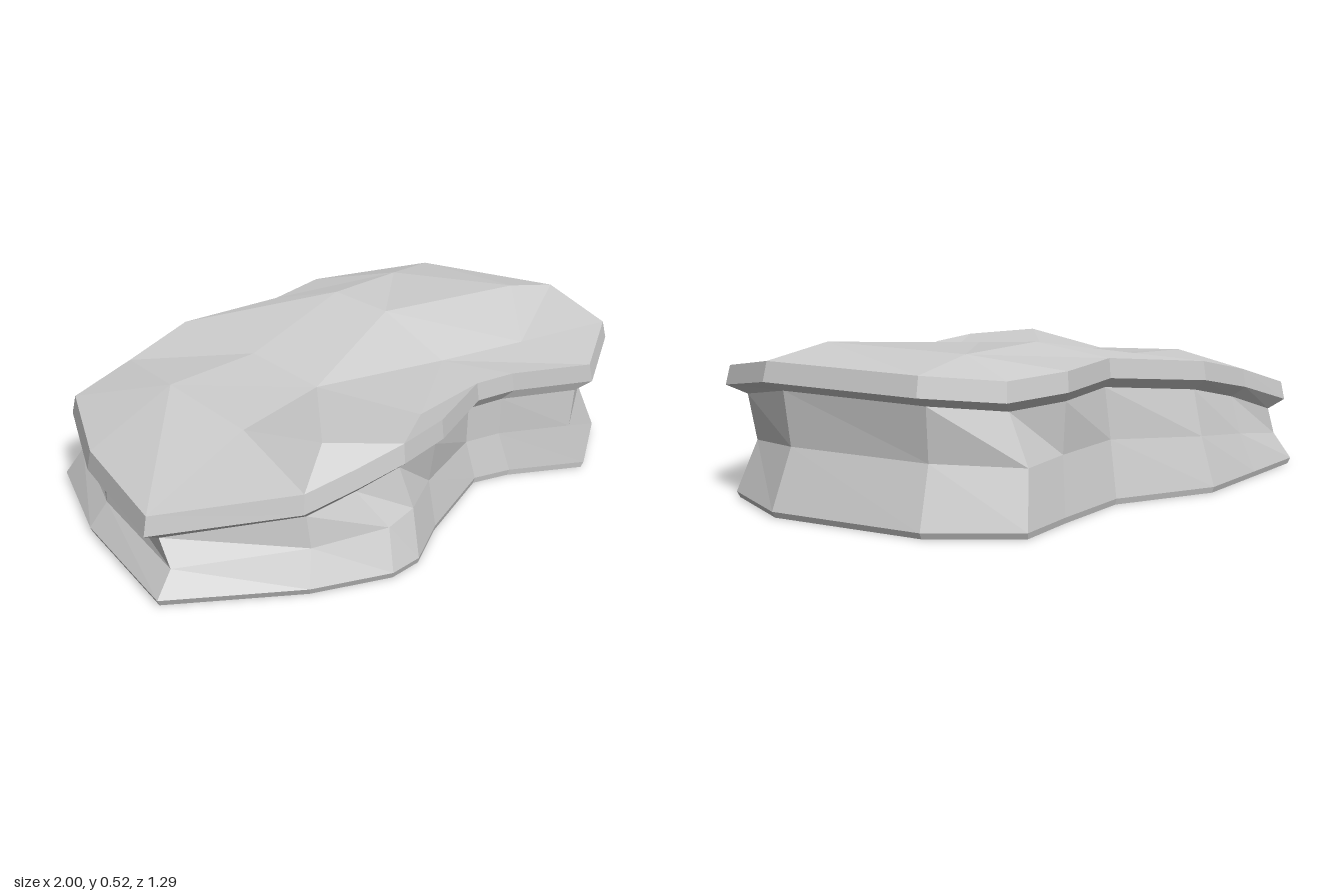
import * as THREE from 'three';

// Outline columns, clockwise from the back corner:
// base x, z, rim x, z, rim height, index of the plateau point it leans on
const columns = [
  [-0.69, -0.62, -0.65, -0.61, 0.30, 0],
  [-0.42, -0.635, -0.42, -0.59, 0.37, 0],
  [-0.14, -0.65, -0.14, -0.61, 0.43, 1],
  [0.19, -0.50, 0.20, -0.48, 0.465, 2],
  [0.47, -0.52, 0.47, -0.53, 0.46, 3],
  [0.67, -0.545, 0.68, -0.475, 0.45, 3],
  [0.87, -0.31, 0.885, -0.32, 0.475, 3],
  [0.99, 0.20, 1.0, 0.21, 0.48, 4],
  [0.90, 0.49, 0.915, 0.505, 0.43, 5],
  [0.61, 0.645, 0.62, 0.645, 0.39, 5],
  [0.38, 0.49, 0.38, 0.49, 0.385, 6],
  [0.25, 0.44, 0.25, 0.44, 0.375, 6],
  [-0.10, 0.55, -0.10, 0.57, 0.40, 7],
  [-0.29, 0.64, -0.32, 0.60, 0.405, 7],
  [-0.41, 0.64, -0.48, 0.555, 0.365, 8],
  [-0.65, 0.52, -0.65, 0.50, 0.325, 8],
  [-1.0, 0.24, -0.98, 0.17, 0.26, 9],
  [-0.87, -0.25, -0.84, -0.28, 0.27, 0],
];

// Plateau points: a loop of ten, then two inside it
const plateau = [
  [-0.50, 0.40, -0.26], [-0.15, 0.415, -0.23], [0.31, 0.51, -0.27], [0.63, 0.505, -0.27],
  [0.78, 0.52, 0.17], [0.58, 0.41, 0.37], [0.31, 0.38, 0.23], [-0.08, 0.38, 0.46],
  [-0.50, 0.42, 0.43], [-0.53, 0.37, 0.12],
  [0.32, 0.49, -0.04], [-0.16, 0.385, 0.08],
];
const core = [
  [0, 1, 11], [0, 11, 9], [9, 11, 8], [8, 11, 7], [11, 6, 7], [11, 10, 6],
  [1, 2, 10], [1, 10, 11], [2, 3, 10], [3, 4, 10], [10, 4, 5], [10, 5, 6],
];

// Faceted mesh from a list of triangles, each three [x, y, z] corners
function facetMesh(name, triangles) {
  const geometry = new THREE.BufferGeometry();
  geometry.setAttribute('position', new THREE.Float32BufferAttribute(triangles.flat(2), 3));
  geometry.computeVertexNormals();
  const mesh = new THREE.Mesh(geometry,
    new THREE.MeshStandardMaterial({ color: 0xcccccc, flatShading: true }));
  mesh.name = name;
  return mesh;
}

// Wall of triangles between two neighbouring rings, facing outward
function band(lower, upper) {
  return lower.flatMap((a, i) => {
    const j = (i + 1) % lower.length;
    return [[a, upper[j], lower[j]], [a, upper[i], upper[j]]];
  });
}

// Turns a triangle to face up (1) or down (-1)
function facing([a, b, c], dir) {
  const ny = (b[2] - a[2]) * (c[0] - a[0]) - (b[0] - a[0]) * (c[2] - a[2]);
  return ny * dir < 0 ? [a, c, b] : [a, b, c];
}

export function createModel() {
  const group = new THREE.Group();
  group.name = 'rock';

  // Rings from the ground up
  const baseRing = (scale, height) =>
    columns.map(([x, z, , , top]) => [x * scale, height(top), z * scale]);
  const rimRing = (scale, drop) =>
    columns.map(([, , x, z, top]) => [x * scale, top - drop, z * scale]);
  const ground = baseRing(0.99, () => 0);
  const foot = baseRing(1, () => 0.02);
  const waist = baseRing(0.93, (top) => (top - 0.095) * 0.55);
  const neck = rimRing(0.935, 0.095);
  const rimLow = rimRing(1, 0.062);
  const rimTop = rimRing(0.985, 0);

  // Body with pinched waist
  const outline = ground.map(([x, , z]) => new THREE.Vector2(x, z));
  const underside = THREE.ShapeUtils.triangulateShape(outline, [])
    .map((t) => facing(t.map((i) => ground[i]), -1));
  group.add(facetMesh('body', [
    ...underside, ...band(ground, foot), ...band(foot, waist), ...band(waist, neck),
  ]));

  // Overhanging ledge
  group.add(facetMesh('ledge', [...band(neck, rimLow), ...band(rimLow, rimTop)]));

  // Uneven top: slopes from the rim to the plateau, then the plateau itself
  const slopes = [];
  rimTop.forEach((a, i) => {
    const j = (i + 1) % rimTop.length;
    const p = columns[i][5], q = columns[j][5];
    slopes.push(facing([a, rimTop[j], plateau[q]], 1));
    if (p !== q) slopes.push(facing([a, plateau[q], plateau[p]], 1));
  });
  const crown = core.map((t) => facing(t.map((i) => plateau[i]), 1));
  group.add(facetMesh('top', [...slopes, ...crown]));

  return group;
}
